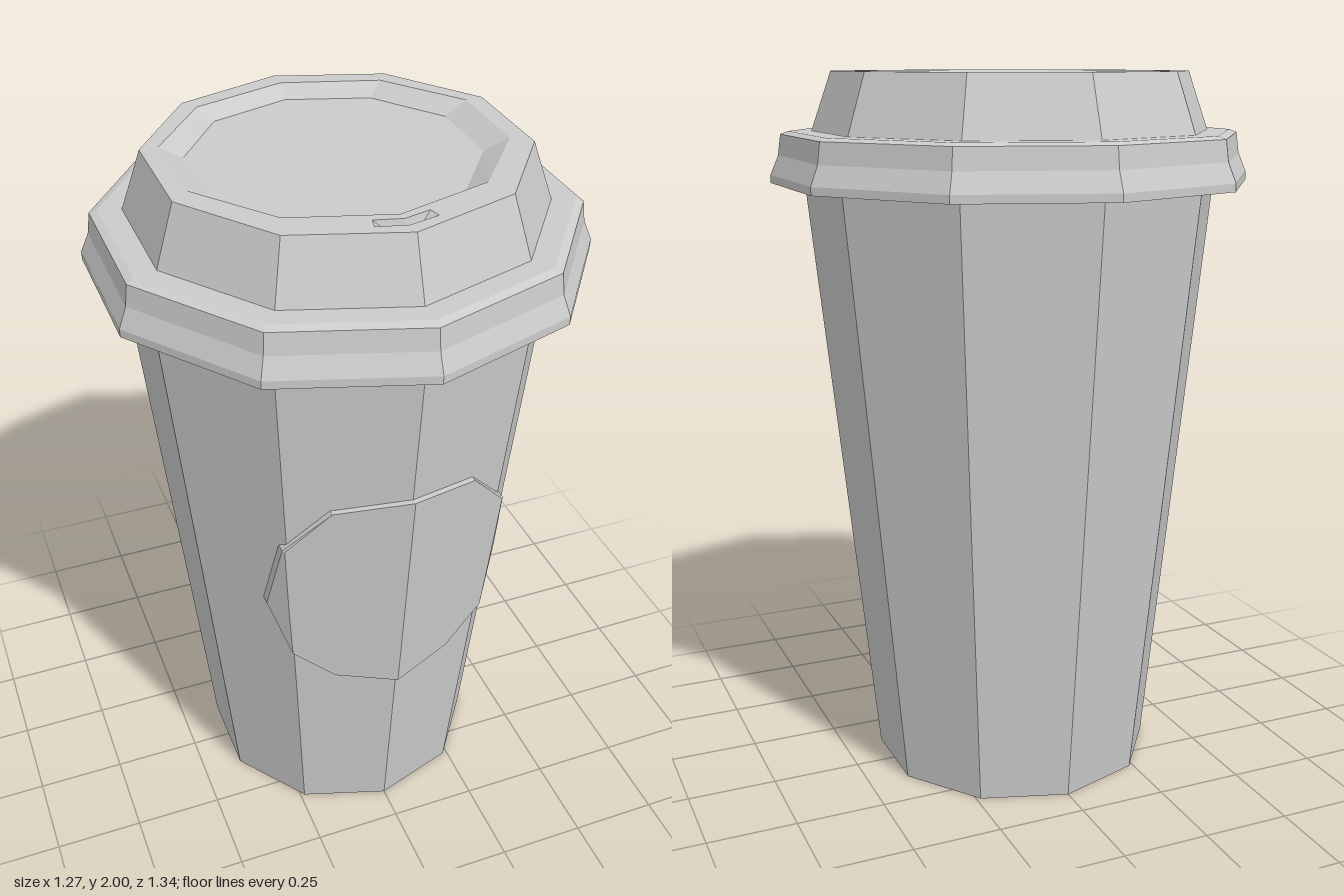
import * as THREE from 'three';

const SIDES = 10;
const mat = new THREE.MeshStandardMaterial({ color: 0xcccccc, flatShading: true, side: THREE.DoubleSide });

function part(name, geometry, parent) {
  const mesh = new THREE.Mesh(geometry, mat);
  mesh.name = name;
  parent.add(mesh);
  return mesh;
}

const lathe = (pts) => new THREE.LatheGeometry(pts.map(([r, y]) => new THREE.Vector2(r, y)), SIDES);

// Ten-sided outline as [x, z] points, one corner facing the front
function ring(rx, rz = rx, cz = 0) {
  return Array.from({ length: SIDES }, (_, i) => {
    const a = (i / SIDES) * Math.PI * 2;
    return [Math.sin(a) * rx, cz + Math.cos(a) * rz];
  });
}

// Flat horizontal plate with optional holes
function plate(outline, y, holes = []) {
  const toV = (pts) => pts.map(([x, z]) => new THREE.Vector2(x, -z));
  const shape = new THREE.Shape(toV(outline));
  holes.forEach((h) => shape.holes.push(new THREE.Path(toV(h))));
  return new THREE.ShapeGeometry(shape).rotateX(-Math.PI / 2).translate(0, y, 0);
}

// Closed strip joining two 3D loops of equal length
function strip(a, b) {
  const pos = [], idx = [], n = a.length;
  for (let i = 0; i < n; i++) {
    pos.push(...a[i], ...b[i]);
    const p = i * 2, q = ((i + 1) % n) * 2;
    idx.push(p, q, p + 1, q, q + 1, p + 1);
  }
  const g = new THREE.BufferGeometry();
  g.setAttribute('position', new THREE.Float32BufferAttribute(pos, 3));
  g.setIndex(idx);
  g.computeVertexNormals();
  return g;
}

const atHeight = (pts, y) => pts.map(([x, z]) => [x, y, z]);

// Sunken area: sloping wall plus floor
function well(name, top, bottom, yTop, yBottom, parent) {
  part(name + 'Wall', strip(atHeight(bottom, yBottom), atHeight(top, yTop)), parent);
  part(name + 'Floor', plate(bottom, yBottom), parent);
}

// Cup wall: radius by height, and depth of the faceted front
const cupRadius = (y) => 0.405 + 0.1 * y;
const corner = (k, r) => [Math.sin(k * Math.PI / 5) * r, Math.cos(k * Math.PI / 5) * r];
function frontZ(x, y, lift) {
  const r = cupRadius(y) + lift, ax = Math.abs(x);
  const k = ax <= corner(1, r)[0] ? 0 : 1;
  const [x0, z0] = corner(k, r), [x1, z1] = corner(k + 1, r);
  return z0 + ((ax - x0) / (x1 - x0)) * (z1 - z0);
}

// Round badge wrapped over the front facets
function addBadge(parent) {
  const rows = [[0.568, 0], [0.6, 0.17], [0.7, 0.287], [0.87, 0.343], [1.105, 0.318], [1.235, 0.2], [1.265, 0]];
  const lift = 0.017, pos = [], idx = [];
  for (const [y, w] of rows) {
    const e = Math.min(w, corner(1, cupRadius(y) + lift)[0]);
    for (const x of [-w, -e, 0, e, w]) pos.push(x, y, frontZ(x, y, lift));
  }
  for (let r = 0; r < rows.length - 1; r++) {
    for (let c = 0; c < 4; c++) {
      const a = r * 5 + c;
      idx.push(a, a + 1, a + 5, a + 1, a + 6, a + 5);
    }
  }
  const face = new THREE.BufferGeometry();
  face.setAttribute('position', new THREE.Float32BufferAttribute(pos, 3));
  face.setIndex(idx);
  face.computeVertexNormals();
  part('badgeFace', face, parent);

  const outline = [
    ...rows.map(([y, w]) => [w, y]),
    ...rows.slice(1, -1).reverse().map(([y, w]) => [-w, y]),
  ];
  const loop = (l) => outline.map(([x, y]) => [x, y, frontZ(x, y, l)]);
  part('badgeEdge', strip(loop(-0.004), loop(lift)), parent);
}

export function createModel() {
  const model = new THREE.Group();
  model.name = 'takeawayCup';

  // Tapered ten-sided cup
  const cup = new THREE.Group();
  cup.name = 'cup';
  model.add(cup);
  part('cupBody', lathe([[0, 0], [0.405, 0], [cupRadius(0.06), 0.06], [cupRadius(1.82), 1.82]]), cup);
  addBadge(cup);

  // Lid shell: inner skirt, rim, step and raised collar
  const lid = new THREE.Group();
  lid.name = 'lid';
  model.add(lid);
  part('lidShell', lathe([
    [0.575, 1.82], [0.605, 1.82], [0.605, 1.7], [0.668, 1.7], [0.668, 1.722],
    [0.645, 1.775], [0.637, 1.832], [0.615, 1.84], [0.552, 1.84], [0.495, 2],
  ]), lid);

  // Lid top with a sunken middle and a drinking slot
  const recessTop = ring(0.445, 0.42, -0.02);
  const recessFloor = ring(0.38, 0.378, -0.0275);
  const slotTop = [[-0.08, 0.437], [0, 0.457], [0.08, 0.437], [0.072, 0.405], [0, 0.424], [-0.072, 0.405]];
  const slotFloor = [[-0.05, 0.433], [0, 0.446], [0.05, 0.433], [0.045, 0.419], [0, 0.43], [-0.045, 0.419]];
  part('lidTop', plate(ring(0.495), 2, [recessTop, slotTop]), lid);
  well('recess', recessTop, recessFloor, 2, 1.965, lid);
  well('drinkSlot', slotTop, slotFloor, 2, 1.975, lid);

  return model;
}
